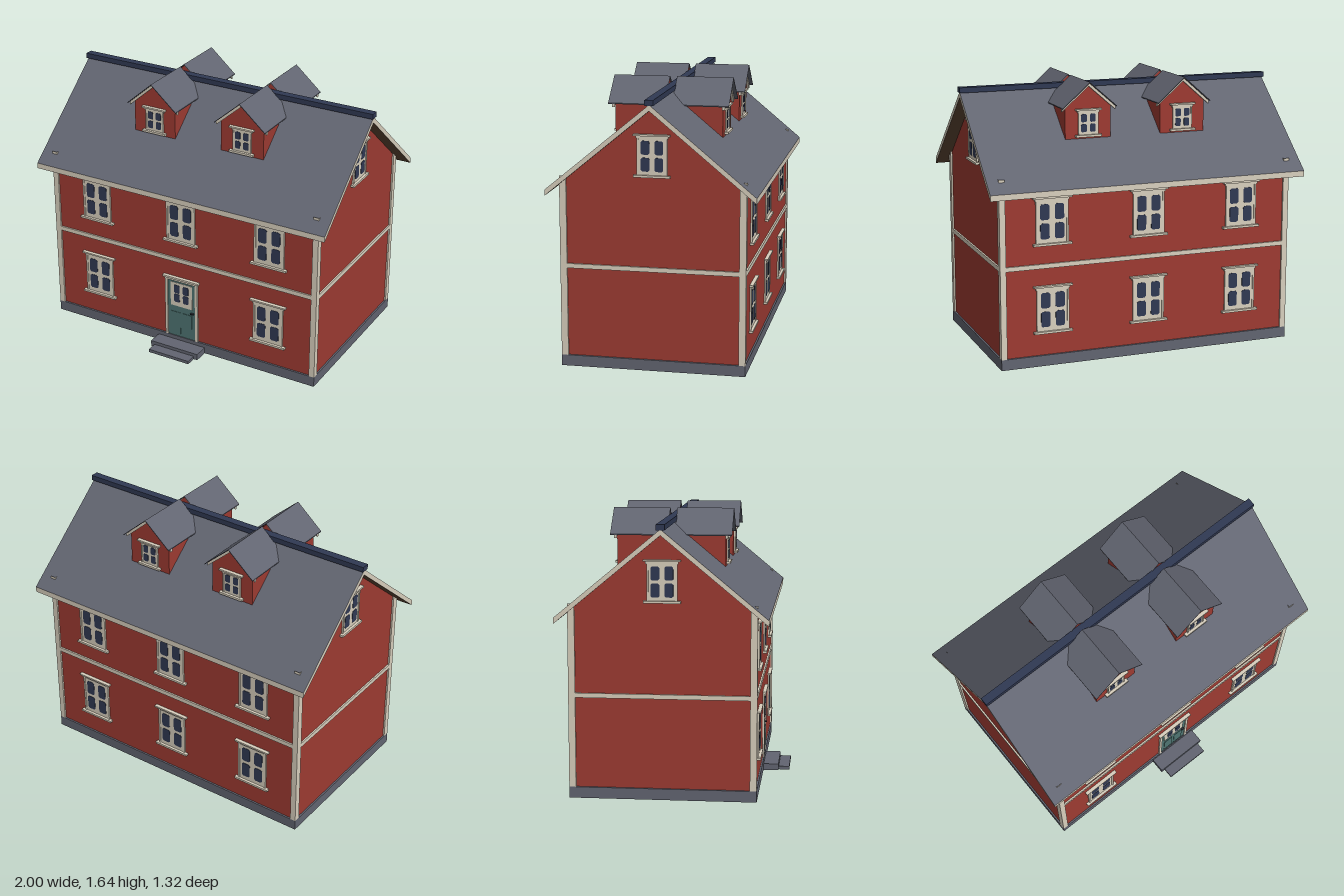
import * as THREE from 'three';

const mat = (name, color, side = THREE.FrontSide) => {
  const m = new THREE.MeshStandardMaterial({ color, side });
  m.name = name;
  return m;
};
const TOP = 2, BOTTOM = 3;

export function createModel() {
  const red = mat('red wall', 0x9e3b32), cream = mat('cream trim', 0xd9d0be);
  const slate = mat('slate grey', 0x626571, THREE.DoubleSide), navy = mat('dark blue', 0x303953);
  const green = mat('door green', 0x4e7472), brown = mat('roof underside brown', 0x5e4633);
  const iron = mat('dark iron', 0x2b2d33);

  const model = new THREE.Group();
  model.name = 'house';
  const house = new THREE.Group();
  house.name = 'building';
  house.position.z = -0.045;
  model.add(house);

  const add = (parent, name, geo, material, x = 0, y = 0, z = 0) => {
    const m = new THREE.Mesh(geo, material);
    m.name = name;
    m.position.set(x, y, z);
    parent.add(m);
    return m;
  };
  // box given by its extents, optionally with one face left open
  const box = (parent, name, material, x0, x1, y0, y1, z0, z1, open = -1) => {
    const g = new THREE.BoxGeometry(x1 - x0, y1 - y0, z1 - z0);
    if (open >= 0) {
      const idx = Array.from(g.index.array);
      idx.splice(open * 6, 6);
      g.setIndex(idx);
      g.clearGroups();
    }
    return add(parent, name, g, material, (x0 + x1) / 2, (y0 + y1) / 2, (z0 + z1) / 2);
  };
  // five-sided gabled block, gables facing +-z
  const gabled = (hw, y0, eave, apex, depth) => {
    const s = new THREE.Shape([[-hw, y0], [hw, y0], [hw, eave], [0, apex], [-hw, eave]]
      .map(p => new THREE.Vector2(...p)));
    return new THREE.ExtrudeGeometry(s, { depth, bevelEnabled: false }).translate(0, 0, -depth / 2);
  };
  // half a pitched roof: ridge along x at the origin, falling towards +z
  const roofHalf = (length, run, thick, slope) => {
    const g = new THREE.BoxGeometry(length, thick, run).translate(0, -thick / 2, run / 2);
    const p = g.attributes.position;
    for (let i = 0; i < p.count; i++) p.setY(i, p.getY(i) - slope * p.getZ(i));
    g.computeVertexNormals();
    return g;
  };
  // glass pane with cut corners
  const pane = (w, h) => {
    const a = w / 2, b = h / 2, c = w * 0.16;
    const s = new THREE.Shape([[-a + c, -b], [a - c, -b], [a, -b + c], [a, b - c],
      [a - c, b], [-a + c, b], [-a, b - c], [-a, -b + c]].map(p => new THREE.Vector2(...p)));
    return new THREE.ExtrudeGeometry(s, { depth: 0.002, bevelEnabled: false });
  };
  const panes = (g, hw, paneH, gap, y, z) => {
    for (const sx of [-1, 1]) for (const sy of [-1, 1])
      add(g, 'pane', pane(hw * 0.57, paneH), navy, sx * hw * 0.45, y + sy * (paneH + gap) / 2, z);
  };
  // window with casing, head and sill, centred on the wall plane
  const windowUnit = (parent, hw, h, paneH, x, y, z, turn = 0) => {
    const g = new THREE.Group();
    g.name = 'window';
    g.position.set(x, y, z);
    g.rotation.y = turn;
    parent.add(g);
    const t = h / 2, e = 0.019;
    box(g, 'sash', cream, -hw * 0.88, hw * 0.88, -t + 0.01, t - 0.01, -0.01, 0.006);
    for (const s of [-1, 1])
      box(g, 'casing', cream, s * hw * 0.94 - hw * 0.06, s * hw * 0.94 + hw * 0.06, -t + 0.01, t - 0.01, -0.01, 0.01);
    box(g, 'head', cream, -hw - e, hw + e, t - 0.01, t, -0.01, 0.022);
    box(g, 'headMoulding', cream, -hw - 0.006, hw + 0.006, t - 0.024, t - 0.01, -0.01, 0.012);
    box(g, 'sill', cream, -hw - e, hw + e, -t, -t + 0.013, -0.01, 0.022);
    panes(g, hw, paneH, h * 0.07, -h * 0.01, 0.006);
  };

  // plinth, hollow underneath, and walls
  box(house, 'plinth', slate, -0.925, 0.925, 0, 0.065, -0.545, 0.545, BOTTOM);
  add(house, 'walls', gabled(0.535, 0.066, 1.105, 1.545, 1.83), red).rotation.y = Math.PI / 2;

  // corner boards, open at the top, and the band between the floors
  for (const s of [-1, 1]) {
    for (const t of [-1, 1])
      box(house, 'cornerBoard', cream, s * 0.907 - 0.018, s * 0.907 + 0.018, 0.065, 1.14,
        t * 0.525 - 0.02, t * 0.525 + 0.02, TOP);
    box(house, 'longBand', cream, -0.89, 0.89, 0.594, 0.621, s * 0.537 - 0.008, s * 0.537 + 0.008);
    box(house, 'gableBand', cream, s * 0.917 - 0.008, s * 0.917 + 0.008, 0.594, 0.621, -0.506, 0.506);
  }

  // main roof
  for (const turn of [0, Math.PI])
    add(house, 'roofSlope', roofHalf(1.99, 0.612, 0.035, 0.828),
      [cream, cream, slate, brown, cream, cream], 0, 1.575, 0).rotation.y = turn;
  box(house, 'ridgeCap', navy, -1, 1, 1.57, 1.602, -0.025, 0.025);

  // windows on the long walls and gables
  for (const x of [-0.605, 0, 0.605]) for (const y of [0.345, 0.876]) {
    windowUnit(house, 0.1, 0.29, 0.094, x, y, -0.535, Math.PI);
    if (x !== 0 || y > 0.5) windowUnit(house, 0.1, 0.29, 0.094, x, y, 0.535);
  }
  for (const s of [-1, 1])
    windowUnit(house, 0.088, 0.248, 0.08, s * 0.915, 1.2725, 0, s * Math.PI / 2);

  // dormers, the back pair turned around the ridge
  for (const turn of [0, Math.PI]) {
    const side = new THREE.Group();
    side.name = turn ? 'backDormers' : 'frontDormers';
    side.rotation.y = turn;
    house.add(side);
    for (const x of [-0.303, 0.303]) {
      const d = new THREE.Group();
      d.name = 'dormer';
      d.position.x = x;
      side.add(d);
      add(d, 'dormerWalls', gabled(0.143, 1.306, 1.511, 1.636, 0.298), red, 0, 0, 0.176);
      for (const s of [-1, 1]) {
        const turnSide = s * Math.PI / 2;
        add(d, 'dormerRoof', roofHalf(0.343, 0.17, 0.006, 0.87), slate, 0, 1.645, 0.1925).rotation.y = turnSide;
        add(d, 'bargeBoard', roofHalf(0.017, 0.168, 0.022, 0.87), cream, 0, 1.641, 0.332).rotation.y = turnSide;
      }
      windowUnit(d, 0.062, 0.168, 0.048, 0, 1.4, 0.325);
    }
  }

  // front door
  const door = new THREE.Group();
  door.name = 'frontDoor';
  door.position.z = 0.535;
  house.add(door);
  box(door, 'doorLeaf', green, -0.098, 0.098, 0.065, 0.46, -0.01, 0.005);
  for (const s of [-1, 1])
    box(door, 'doorCasing', cream, s * 0.107 - 0.009, s * 0.107 + 0.009, 0.065, 0.465, -0.01, 0.011);
  box(door, 'doorHead', cream, -0.127, 0.127, 0.475, 0.488, -0.01, 0.022);
  box(door, 'doorHeadMoulding', cream, -0.118, 0.118, 0.46, 0.475, -0.01, 0.013);
  box(door, 'doorSash', cream, -0.077, 0.077, 0.282, 0.447, 0, 0.008);
  panes(door, 0.07, 0.057, 0.006, 0.371, 0.008);
  for (const s of [-1, 1])
    box(door, 'doorPanel', green, s * 0.041 - 0.032, s * 0.041 + 0.032, 0.085, 0.238, 0, 0.008);
  box(door, 'doorHandle', iron, 0.066, 0.088, 0.253, 0.26, 0, 0.018);

  // steps, hollow underneath
  box(house, 'upperStep', slate, -0.168, 0.167, 0, 0.04, 0.546, 0.638, BOTTOM);
  box(house, 'lowerStep', slate, -0.143, 0.142, 0, 0.02, 0.639, 0.705, BOTTOM);

  return model;
}
